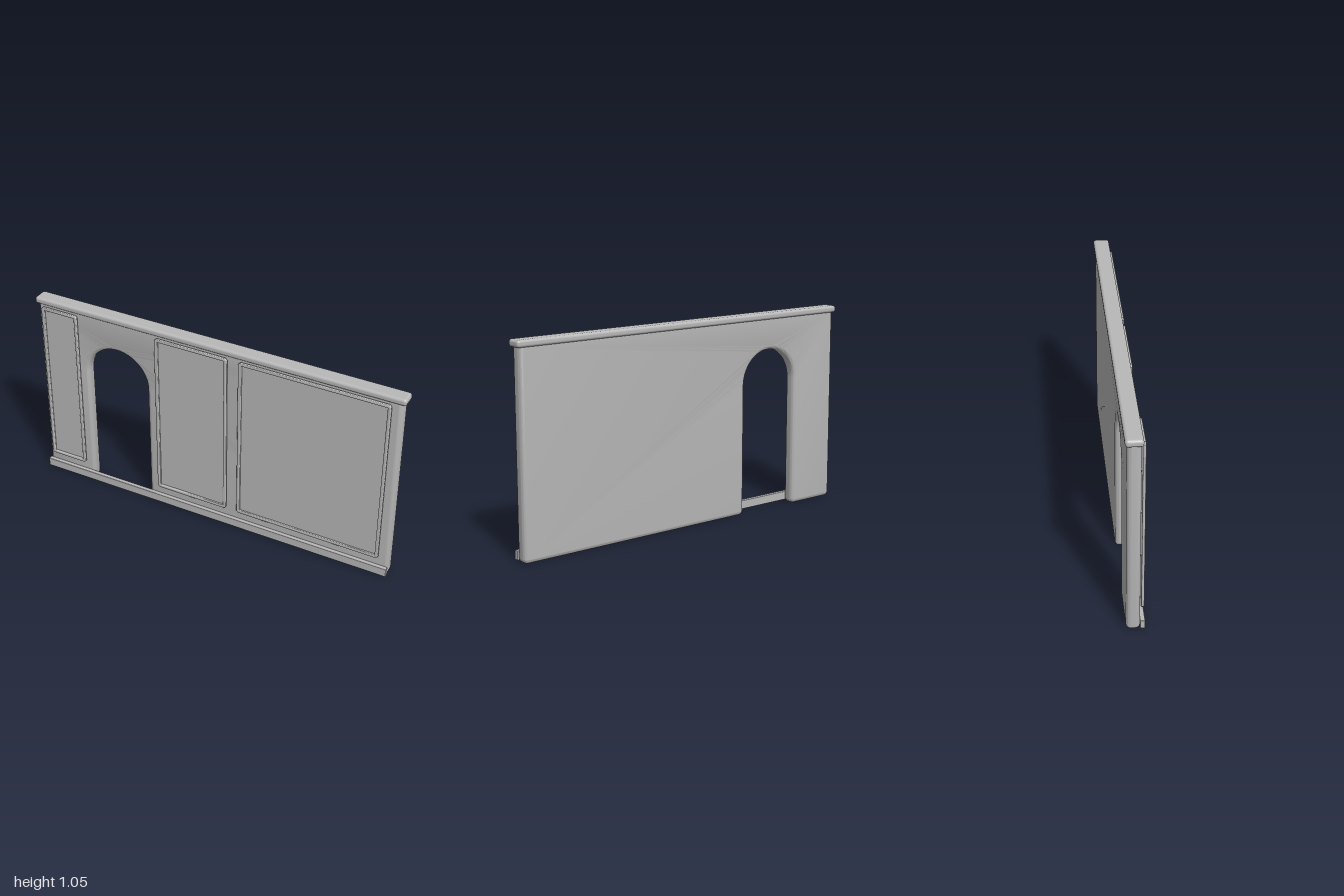
import * as THREE from 'three';
import { toCreasedNormals } from 'three/addons/utils/BufferGeometryUtils.js';
import { RoundedBoxGeometry } from 'three/addons/geometries/RoundedBoxGeometry.js';

const plaster = new THREE.MeshStandardMaterial({ color: 0xb8b8b8 });
plaster.name = 'plaster grey';

function addMesh(parent, name, geometry, x = 0, y = 0, z = 0) {
  const mesh = new THREE.Mesh(geometry, plaster);
  mesh.name = name;
  mesh.position.set(x, y, z);
  parent.add(mesh);
  return mesh;
}

// Extrusion between two depths whose outline swells outwards by a rounded bevel
function roundedExtrude(shape, back, front, bevel, segments) {
  const geometry = new THREE.ExtrudeGeometry(shape, {
    depth: front - back - 2 * bevel,
    bevelThickness: bevel,
    bevelSize: bevel,
    bevelSegments: segments,
    curveSegments: 24,
  });
  geometry.translate(0, 0, back + bevel);
  return toCreasedNormals(geometry, 0.7);
}

// Wall with an arched doorway, drawn inset by the edge rounding
function wallGeometry() {
  const b = 0.022, r = 0.004;
  const left = -0.985 + b, right = 0.985 - b, bottom = b, top = 1.03 - b;
  const doorX = -0.5325, doorR = 0.1725 + b, spring = 0.682;
  const s = new THREE.Shape();
  s.moveTo(left + r, bottom);
  s.lineTo(doorX - doorR - r, bottom);
  s.quadraticCurveTo(doorX - doorR, bottom, doorX - doorR, bottom + r);
  s.lineTo(doorX - doorR, spring);
  s.absarc(doorX, spring, doorR, Math.PI, 0, true);
  s.lineTo(doorX + doorR, bottom + r);
  s.quadraticCurveTo(doorX + doorR, bottom, doorX + doorR + r, bottom);
  s.lineTo(right - r, bottom);
  s.quadraticCurveTo(right, bottom, right, bottom + r);
  s.lineTo(right, top);
  s.lineTo(left, top);
  s.lineTo(left, bottom + r);
  s.quadraticCurveTo(left, bottom, left + r, bottom);
  return roundedExtrude(s, -0.038, 0.028, b, 6);
}

// Rectangle with small chamfered corners
function chamferedRect(Path, w, h, c) {
  const x = w / 2, y = h / 2;
  return new Path([
    [-x + c, -y], [x - c, -y], [x, -y + c], [x, y - c],
    [x - c, y], [-x + c, y], [-x, y - c], [-x, -y + c],
  ].map(([px, py]) => new THREE.Vector2(px, py)));
}

// Thin raised field with a rounded moulding around its border
function addPanel(parent, name, x0, x1) {
  const y0 = 0.103, y1 = 1.008, bevel = 0.005, width = 0.018;
  const w = x1 - x0, h = y1 - y0;
  const group = new THREE.Group();
  group.name = name;
  group.position.set((x0 + x1) / 2, (y0 + y1) / 2, 0);
  parent.add(group);
  addMesh(group, 'panelField', new THREE.BoxGeometry(w - width, h - width, 0.009), 0, 0, 0.0305);
  const ring = chamferedRect(THREE.Shape, w - 2 * bevel, h - 2 * bevel, 0.008);
  const inset = 2 * (width - bevel);
  ring.holes.push(chamferedRect(THREE.Path, w - inset, h - inset, 0.004));
  addMesh(group, 'panelMoulding', roundedExtrude(ring, 0.034, 0.048, bevel, 3));
}

export function createModel() {
  const model = new THREE.Group();
  model.name = 'archedWall';

  addMesh(model, 'wall', wallGeometry());
  addMesh(model, 'cornice', new RoundedBoxGeometry(2, 0.036, 0.082, 4, 0.014), 0, 1.03, -0.006);
  addMesh(model, 'baseboard', new RoundedBoxGeometry(1.97, 0.046, 0.023, 2, 0.003), 0, 0.031, 0.0385);

  addPanel(model, 'narrowPanel', -0.957, -0.747);
  addPanel(model, 'middlePanel', -0.302, 0.098);
  addPanel(model, 'widePanel', 0.158, 0.936);

  return model;
}
